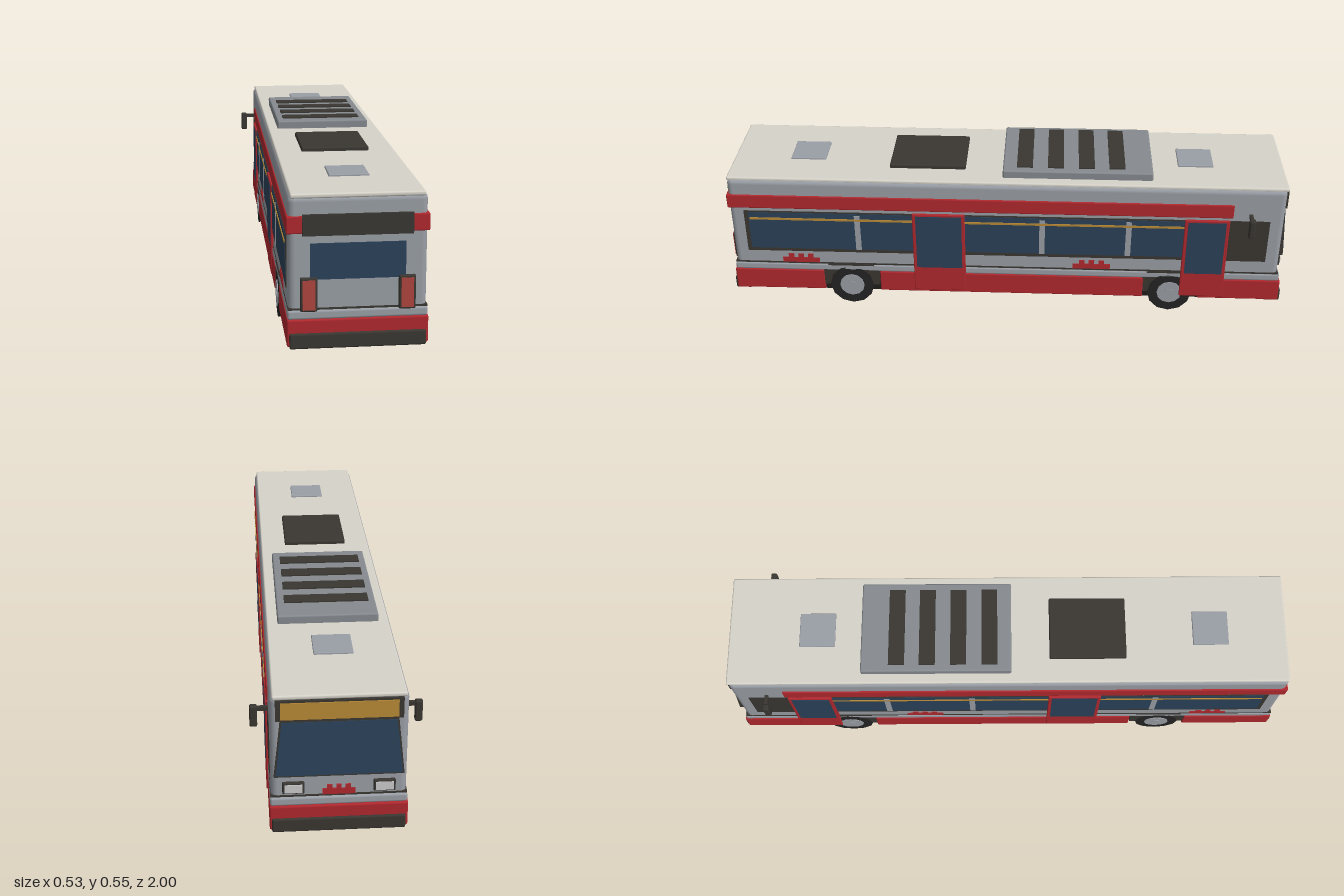
import * as THREE from 'three';
import { RoundedBoxGeometry } from 'three/addons/geometries/RoundedBoxGeometry.js';

const mat = (color) => new THREE.MeshStandardMaterial({ color });
const RED = mat(0xb0282e), GREY = mat(0x9a9fa6), ROOF = mat(0xd6d3ca), DARK = mat(0x3a3732),
  GLASS = mat(0x2b4159), AMBER = mat(0xb98a35), TYRE = mat(0x242424), UNDER = mat(0x1f1d1c),
  LAMP = mat(0xd8d8d4), TAIL = mat(0xb0453f), UNIT = mat(0x868b90);

export function createModel() {
  const bus = new THREE.Group();
  bus.name = 'bus';

  const add = (name, geometry, material, parent = bus) => {
    const mesh = new THREE.Mesh(geometry, material);
    mesh.name = name;
    parent.add(mesh);
    return mesh;
  };
  // Box given by its limits on each axis; r > 0 rounds the edges
  const box = (name, material, [x0, x1], [y0, y1], [z0, z1], r = 0, parent = bus) => {
    const size = [Math.abs(x1 - x0), Math.abs(y1 - y0), Math.abs(z1 - z0)];
    const geometry = r ? new RoundedBoxGeometry(...size, 2, r) : new THREE.BoxGeometry(...size);
    const mesh = add(name, geometry, material, parent);
    mesh.position.set((x0 + x1) / 2, (y0 + y1) / 2, (z0 + z1) / 2);
    return mesh;
  };

  // Main shell, waist ledge and chassis
  box('body', GREY, [-0.207, 0.207], [0.13, 0.515], [-0.98, 0.985], 0.02);
  box('waistLedge', GREY, [-0.21, 0.21], [0.138, 0.168], [-0.988, 0.99], 0.008);
  box('waistSeam', DARK, [-0.2085, 0.2085], [0.168, 0.174], [-0.982, 0.987]);
  box('chassis', UNDER, [-0.195, 0.195], [0.05, 0.14], [-0.98, 0.98]);
  box('roof', ROOF, [-0.2, 0.2], [0.506, 0.521], [-0.985, 0.985], 0.006);

  // Roof equipment
  box('coolingUnit', UNIT, [-0.166, 0.164], [0.515, 0.549], [-0.515, 0.012], 0.006);
  for (const z of [-0.39, -0.283, -0.174, -0.065])
    box('coolingSlat', DARK, [-0.143, 0.138], [0.54, 0.553], [z - 0.028, z + 0.028]);
  box('roofVent', DARK, [-0.114, 0.111], [0.515, 0.535], [0.146, 0.416], 0.005);
  for (const z of [-0.672, 0.716])
    box('roofHatch', GREY, [-0.064, 0.061], [0.515, 0.527], [z - 0.063, z + 0.063], 0.003);

  // Red skirts and bumpers at both ends
  for (const s of [-1, 1]) {
    box('endSkirt', RED, [-0.212, 0.212], [0.055, 0.14], [s * 0.94, s * 0.993], 0.006);
    box('bumper', DARK, [-0.205, 0.205], [0.05, 0.098], [s * 0.96, s], 0.006);
  }

  // One half-disc arch, wheel and hub, lying along x
  const wheel = (side, s, z) => {
    const group = new THREE.Group();
    group.name = 'wheel';
    group.position.set(s * 0.185, 0.08, z);
    group.rotation.z = -s * Math.PI / 2;
    side.add(group);
    const disc = (name, r, x, w, m) => {
      const g = new THREE.CylinderGeometry(r, r, w, 12).toNonIndexed();
      g.computeVertexNormals();
      add(name, g, m, group).position.y = x;
    };
    disc('tyre', 0.08, 0, 0.05, TYRE);
    disc('hub', 0.045, 0.004, 0.048, GREY);
    disc('hubCap', 0.016, 0.006, 0.048, GREY);
    const shape = new THREE.Shape();
    shape.moveTo(-0.102, 0);
    for (const [px, py] of [[-0.102, 0.06], [-0.08, 0.09], [0.08, 0.09], [0.102, 0.06], [0.102, 0]])
      shape.lineTo(px, py);
    const arch = add('wheelArch', new THREE.ExtrudeGeometry(shape, { depth: 0.014, bevelEnabled: false }), DARK, side);
    arch.rotation.y = Math.PI / 2;
    arch.position.set(s > 0 ? 0.1955 : -0.2095, 0.08, z);
  };

  for (const s of [-1, 1]) {
    const side = new THREE.Group();
    side.name = s > 0 ? 'leftSide' : 'rightSide';
    bus.add(side);
    const panel = (name, m, out, y, z, r = 0) => box(name, m, [s * 0.19, s * out], y, z, r, side);

    // Lower skirt broken by the wheels, upper band
    for (const z of [[0.665, 0.985], [-0.5, 0.46], [-0.985, -0.7]])
      panel('skirt', RED, 0.212, [0.058, 0.14], z, 0.004);
    panel('upperBand', RED, 0.212, [0.402, 0.455], [-0.8, 0.99], 0.004);

    // Window strip with glass, pillars and amber rail
    panel('windowFrame', DARK, 0.2095, [0.222, 0.39], [-0.79, 0.935]);
    panel('windowGlass', GLASS, 0.211, [0.235, 0.385], [-0.78, 0.92]);
    panel('cabPanel', DARK, 0.2095, [0.222, 0.39], [-0.93, -0.79]);
    for (const z of [0.53, -0.13, -0.437])
      panel('pillar', GREY, 0.213, [0.235, 0.378], [z - 0.01, z + 0.01]);
    panel('amberRail', AMBER, 0.2135, [0.356, 0.364], [-0.785, 0.915]);

    // Doors
    for (const [z0, z1] of [[0.145, 0.333], [-0.79, -0.632]]) {
      panel('door', RED, 0.2155, [0.068, 0.392], [z0, z1], 0.003);
      panel('doorGlass', GLASS, 0.217, [0.168, 0.384], [z0 + 0.012, z1 - 0.012]);
    }

    // Plain red trim plates
    for (const z of [0.745, -0.31]) {
      panel('trimPlate', RED, 0.2095, [0.174, 0.194], [z - 0.067, z + 0.067]);
      for (const dz of [-0.035, 0, 0.035])
        panel('trimStep', RED, 0.2095, [0.19, 0.21], [z + dz - 0.01, z + dz + 0.01]);
    }

    wheel(side, s, 0.565);
    wheel(side, s, -0.597);

    // Wing mirror
    box('mirrorArm', DARK, [s * 0.2, s * 0.25], [0.405, 0.418], [-0.867, -0.855], 0, side);
    box('mirror', DARK, [s * 0.241, s * 0.265], [0.351, 0.423], [-0.872, -0.85], 0.006, side);

    // Tail lamp and headlamp
    box('tailLampFrame', DARK, [s * 0.121, s * 0.172], [0.164, 0.269], [0.975, 0.996], 0.005, side);
    box('tailLamp', TAIL, [s * 0.128, s * 0.165], [0.171, 0.262], [0.98, 0.999], 0, side);
    box('headlampFrame', DARK, [s * 0.105, s * 0.172], [0.182, 0.222], [-0.99, -0.97], 0.004, side);
    box('headlamp', LAMP, [s * 0.111, s * 0.166], [0.188, 0.216], [-0.993, -0.975], 0, side);
  }

  // Tail end: band, sign panel and window
  box('tailBand', RED, [-0.212, 0.212], [0.402, 0.455], [0.96, 0.99], 0.004);
  box('tailSign', DARK, [-0.165, 0.163], [0.396, 0.46], [0.97, 0.994]);
  box('tailWindow', GLASS, [-0.142, 0.142], [0.262, 0.372], [0.97, 0.989]);

  // Driving end: sign box and sloped windscreen, wider at its foot
  box('signFrame', DARK, [-0.19, 0.19], [0.436, 0.505], [-0.986, -0.96]);
  box('signFace', AMBER, [-0.175, 0.175], [0.442, 0.498], [-0.989, -0.965]);
  const screen = (name, material, grow, lift) => {
    const shape = new THREE.Shape();
    shape.moveTo(-0.192 - grow, -grow);
    shape.lineTo(0.192 + grow, -grow);
    shape.lineTo(0.172 + grow, 0.18 + grow);
    shape.lineTo(-0.172 - grow, 0.18 + grow);
    const mesh = add(name, new THREE.ExtrudeGeometry(shape, { depth: 0.014, bevelEnabled: false }), material);
    mesh.rotation.x = 0.05;
    mesh.position.set(0, 0.25, -0.991 - lift);
  };
  screen('windscreenFrame', DARK, 0.005, 0);
  screen('windscreen', GLASS, 0, 0.002);
  box('frontTrimPlate', RED, [-0.05, 0.05], [0.174, 0.194], [-0.984, -0.97]);
  for (const x of [-0.028, 0, 0.028])
    box('frontTrimStep', RED, [x - 0.008, x + 0.008], [0.19, 0.208], [-0.984, -0.97]);

  return bus;
}
